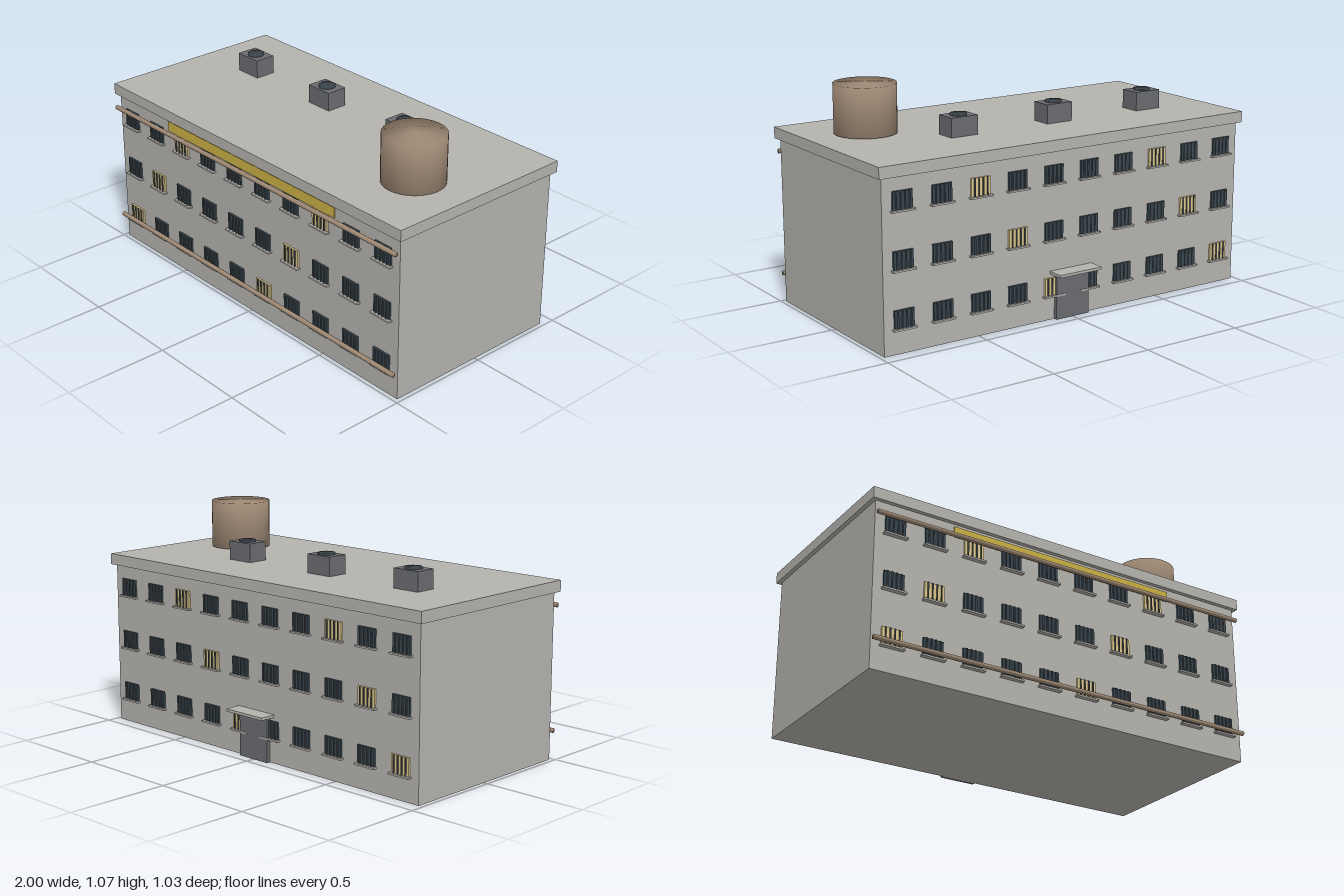
import * as THREE from 'three';
import { mergeVertices } from 'three/addons/utils/BufferGeometryUtils.js';

const paint = (name, color) => {
  const m = new THREE.MeshStandardMaterial({ color });
  m.name = name;
  return m;
};

export function createModel() {
  const concrete = paint('concrete', 0xb5b3ae);
  const rust = paint('rust', 0xa08a75);
  const steel = paint('steel', 0x6a6b70);
  const darkSteel = paint('dark steel', 0x3a424a);
  const glass = paint('dark glass', 0x36454e);
  const litGlass = paint('lit glass', 0xdcc88c);
  const barPaint = paint('window bars', 0x4c5156);
  const yellow = paint('yellow sign', 0xc9b045);

  const model = new THREE.Group();
  model.name = 'apartmentBlock';

  const add = (parent, name, geometry, material, x, y, z) => {
    const mesh = new THREE.Mesh(geometry, material);
    mesh.name = name;
    mesh.position.set(x, y, z);
    parent.add(mesh);
    return mesh;
  };
  // Box given by its lower and upper corners
  const box = (parent, name, material, [x0, y0, z0], [x1, y1, z1]) =>
    add(parent, name, new THREE.BoxGeometry(x1 - x0, y1 - y0, z1 - z0), material,
      (x0 + x1) / 2, (y0 + y1) / 2, (z0 + z1) / 2);
  // Cylinder with normals blended over its rims
  const softCylinder = (radius, height, sides) => {
    const g = new THREE.CylinderGeometry(radius, radius, height, sides);
    g.deleteAttribute('normal');
    g.deleteAttribute('uv');
    const merged = mergeVertices(g);
    merged.computeVertexNormals();
    return merged;
  };

  // Main block and roof slab
  const midZ = 0.0215, halfDepth = 0.4585;
  box(model, 'walls', concrete, [-0.98, 0, midZ - halfDepth], [0.98, 0.785, midZ + halfDepth]);
  box(model, 'roofSlab', concrete, [-1, 0.785, -0.457], [1, 0.838, 0.5]);

  // Barred windows: three floors of ten on the front and the back
  const paneGeo = new THREE.BoxGeometry(0.098, 0.082, 0.009);
  const barGeo = new THREE.BoxGeometry(0.006, 0.082, 0.006);
  const sillGeo = new THREE.BoxGeometry(0.114, 0.008, 0.022);
  for (const side of [1, -1]) {
    const wallZ = midZ + side * halfDepth;
    [0.118, 0.379, 0.64].forEach((bottom, floor) => {
      for (let i = 0; i < 10; i++) {
        const win = new THREE.Group();
        win.name = side > 0 ? 'frontWindow' : 'backWindow';
        win.position.set(-0.882 + 0.196 * i, bottom, wallZ);
        add(win, 'pane', paneGeo, i % 5 === floor ? litGlass : glass, 0, 0.041, side * 0.0045);
        for (let b = 0; b < 4; b++) {
          add(win, 'bar', barGeo, barPaint, -0.033 + b * 0.022, 0.041, side * 0.011);
        }
        add(win, 'sill', sillGeo, concrete, 0, -0.004, side * 0.011);
        model.add(win);
      }
    });
  }

  // Back entrance
  box(model, 'door', steel, [-0.09, 0, -0.456], [0.09, 0.208, -0.437]);
  box(model, 'doorCanopy', concrete, [-0.118, 0.217, -0.516], [0.115, 0.23, -0.437]);

  // Sign and long pipes on the front
  box(model, 'sign', yellow, [-0.59, 0.722, 0.48], [0.58, 0.772, 0.485]);
  for (const y of [0.133, 0.72]) {
    const pipe = add(model, 'frontPipe', softCylinder(0.011, 1.96, 16), rust, 0, y, 0.505);
    pipe.rotation.z = Math.PI / 2;
  }

  // Rooftop ventilators
  for (const x of [-0.657, -0.133, 0.39]) {
    const vent = new THREE.Group();
    vent.name = 'roofVent';
    vent.position.set(x, 0.838, -0.112);
    add(vent, 'ventBox', new THREE.BoxGeometry(0.14, 0.09, 0.104), steel, 0, 0.045, 0);
    add(vent, 'ventFan', softCylinder(0.04, 0.018, 24), darkSteel, 0, 0.089, 0);
    model.add(vent);
  }

  // Water tank
  add(model, 'waterTank', softCylinder(0.144, 0.228, 32), rust, 0.717, 0.955, 0.151);

  return model;
}
